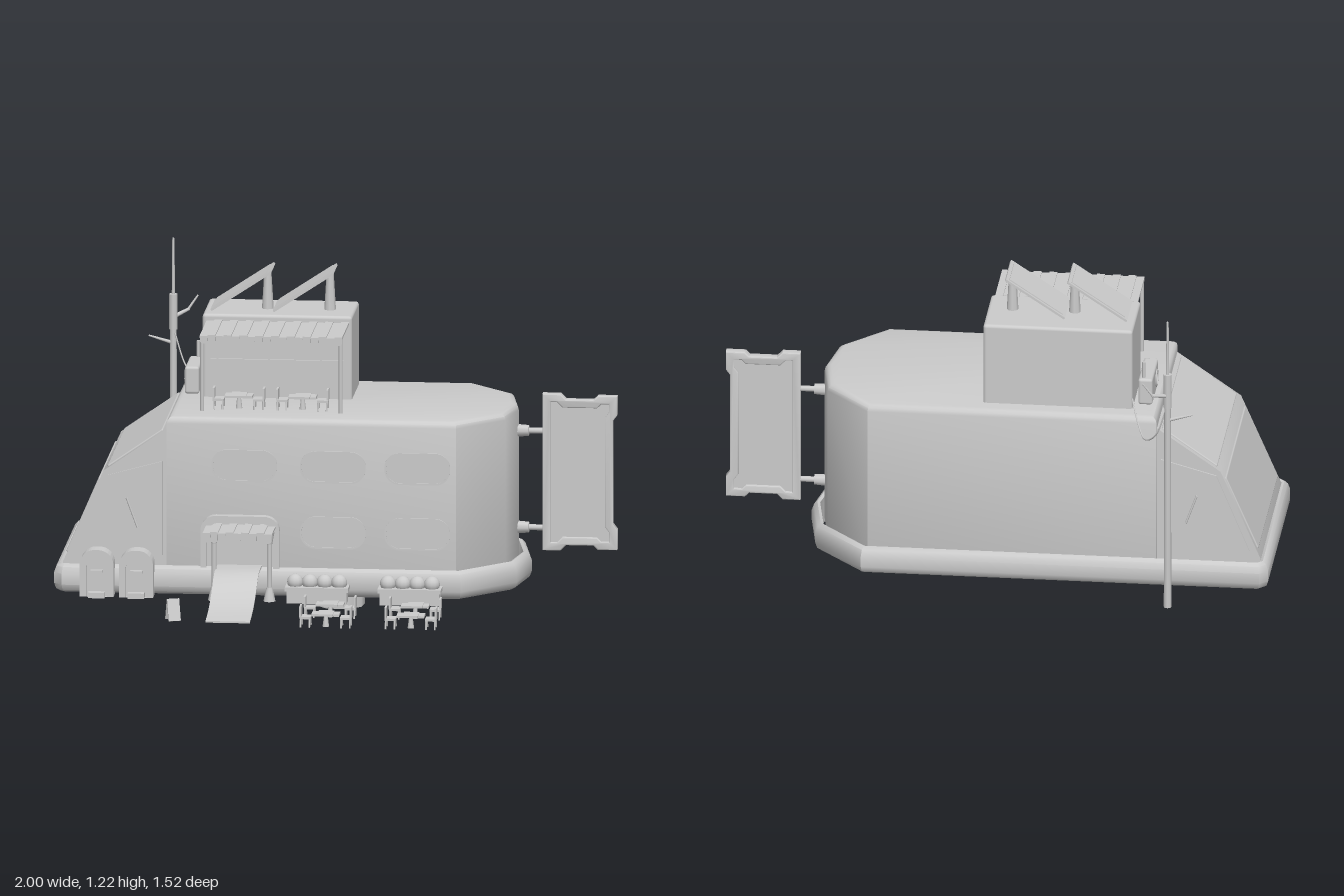
import * as THREE from 'three';
import { toCreasedNormals } from 'three/addons/utils/BufferGeometryUtils.js';
import { RoundedBoxGeometry } from 'three/addons/geometries/RoundedBoxGeometry.js';

const grey = new THREE.MeshStandardMaterial({ color: 0xcccccc });
const thin = new THREE.MeshStandardMaterial({ color: 0xcccccc, side: THREE.DoubleSide });
const CZ = -0.145; // centre line of the vehicle
const V = (x, y, z) => new THREE.Vector3(x, y, z);

function add(parent, name, geo, x = 0, y = 0, z = 0, mat = grey) {
  const m = new THREE.Mesh(geo, mat);
  m.name = name;
  m.position.set(x, y, z);
  parent.add(m);
  return m;
}
// Box given by its limits on each axis
const box = (p, name, x0, x1, y0, y1, z0, z1) =>
  add(p, name, new THREE.BoxGeometry(x1 - x0, y1 - y0, z1 - z0), (x0 + x1) / 2, (y0 + y1) / 2, (z0 + z1) / 2);
function rod(p, name, a, b, r, r2 = r, sides = 8) {
  const m = add(p, name, new THREE.CylinderGeometry(r2, r, a.distanceTo(b), sides));
  m.position.copy(a).add(b).multiplyScalar(0.5);
  m.quaternion.setFromUnitVectors(V(0, 1, 0), b.clone().sub(a).normalize());
  return m;
}
const shapeOf = (pts) => new THREE.Shape(pts.map(([x, y]) => new THREE.Vector2(x, y)));
const extrude = (shape, depth, bevel = 0) => toCreasedNormals(new THREE.ExtrudeGeometry(shape, {
  depth: depth - 2 * bevel, bevelEnabled: bevel > 0, bevelSize: bevel, bevelThickness: bevel,
  bevelOffset: -bevel, bevelSegments: 3, curveSegments: 10,
}).translate(0, 0, bevel), 0.7);

// Plan of the vehicle: square stern, faceted nose
const plan = [[-0.97, -0.4], [0.47, -0.4], [0.655, -0.205], [0.69, 0], [0.655, 0.205], [0.47, 0.4],
  [-0.97, 0.4], [-1, 0.37], [-1, -0.37]];
function inset(pts, d) {
  const n = pts.length;
  const normal = (a, b) => new THREE.Vector2(a[1] - b[1], b[0] - a[0]).normalize();
  return pts.map((p, i) => {
    const n1 = normal(pts[(i + n - 1) % n], p), n2 = normal(p, pts[(i + 1) % n]);
    const k = d / (1 + n1.dot(n2));
    return [p[0] + (n1.x + n2.x) * k, p[1] + (n1.y + n2.y) * k];
  });
}
// Closed band that follows the plan with a cross-section of [inset, height]
function band(section) {
  const loops = section.map(([d, h]) => inset(plan, d).map(([x, y]) => [x, y, h]));
  const pos = [], n = plan.length, s = loops.length;
  for (let j = 0; j < s; j++) for (let i = 0; i < n; i++) {
    const a = loops[j][i], b = loops[j][(i + 1) % n], c = loops[(j + 1) % s][(i + 1) % n], d = loops[(j + 1) % s][i];
    pos.push(...a, ...b, ...c, ...a, ...c, ...d);
  }
  const g = new THREE.BufferGeometry();
  g.setAttribute('position', new THREE.Float32BufferAttribute(pos, 3));
  g.rotateX(-Math.PI / 2);
  return toCreasedNormals(g, 0.75);
}
function archShape(w, h, r) {
  const s = new THREE.Shape();
  s.moveTo(-w / 2, 0); s.lineTo(w / 2, 0); s.lineTo(w / 2, h - r);
  s.absarc(w / 2 - r, h - r, r, 0, Math.PI / 2);
  s.absarc(-w / 2 + r, h - r, r, Math.PI / 2, Math.PI);
  s.closePath();
  return s;
}
function pill(w, h, r) {
  const s = new THREE.Shape();
  [[1, -1, -0.5], [1, 1, 0], [-1, 1, 0.5], [-1, -1, 1]].forEach(([sx, sy, a]) =>
    s.absarc(sx * (w / 2 - r), sy * (h / 2 - r), r, a * Math.PI, (a + 0.5) * Math.PI));
  s.closePath();
  return s;
}
// Striped awning with a scalloped front edge
function awning(p, name, x0, x1, y, z0, z1, count, drop) {
  const g = new THREE.Group();
  g.name = name;
  const w = (x1 - x0) / count;
  for (let i = 0; i < count; i++) {
    const a = x0 + i * w, lift = i % 2 ? 0.004 : 0;
    box(g, 'awningSlat', a, a + w, y - 0.008 + lift, y + lift, z0, z1);
    add(g, 'awningScallop', extrude(archShape(w * 0.94, drop, w * 0.4), 0.006).rotateZ(Math.PI), a + w / 2, y, z1 - 0.006);
  }
  p.add(g);
}
// Table with a chair at each end
function diningSet(p, x, y, z) {
  const g = new THREE.Group();
  g.name = 'diningSet';
  box(g, 'tableTop', -0.05, 0.05, 0.042, 0.05, -0.028, 0.028);
  box(g, 'tableCloth', -0.028, 0.028, 0.044, 0.052, -0.037, 0.037);
  rod(g, 'tableStem', V(0, 0, 0), V(0, 0.045, 0), 0.012, 0.006);
  for (const s of [-1, 1]) {
    const c = new THREE.Group();
    c.name = 'chair';
    box(c, 'chairSeat', -0.02, 0.02, 0.03, 0.038, -0.025, 0.025);
    box(c, 'chairBack', 0.014, 0.021, 0.036, 0.076, -0.022, 0.022);
    for (const lx of [-0.016, 0.016]) for (const lz of [-1, 1])
      rod(c, 'chairLeg', V(lx, 0, lz * 0.03), V(lx, 0.032, lz * 0.02), 0.0035, 0.0035, 5);
    c.position.x = s * 0.073;
    c.rotation.y = s < 0 ? Math.PI : 0;
    g.add(c);
  }
  g.position.set(x, y, z);
  p.add(g);
}

export function createModel() {
  const g = new THREE.Group();

  // Skirt, hull and support column
  add(g, 'skirt', band([[0.025, 0.105], [0.007, 0.115], [0, 0.135], [0, 0.175], [0.008, 0.198], [0.02, 0.21],
    [0.03, 0.205], [0.03, 0.105]]), 0, 0, CZ);
  const hullPlan = inset(plan, 0.046).map(([x, y]) => [Math.max(x, -0.595), y]);
  const hull = extrude(shapeOf([...hullPlan.slice(0, 6), hullPlan[6], hullPlan[8]].slice(0, 7)), 0.63, 0.025);
  add(g, 'hull', hull.rotateX(-Math.PI / 2), 0, 0.12, CZ);
  add(g, 'supportColumn', new THREE.CylinderGeometry(0.092, 0.092, 0.15, 8).rotateY(0.3).toNonIndexed(), -0.002, 0.075, -0.14);

  // Sloping cab with window panels
  const cab = extrude(shapeOf([[-0.97, 0.18], [-0.58, 0.18], [-0.58, 0.715], [-0.825, 0.545], [-0.97, 0.21]]), 0.69);
  add(g, 'cab', cab, 0, 0, CZ - 0.345);
  for (const [x0, y0, x1, y1] of [[-0.956, 0.24, -0.838, 0.513], [-0.81, 0.555, -0.61, 0.694]]) {
    const m = add(g, 'windscreenPanel', new RoundedBoxGeometry(Math.hypot(x1 - x0, y1 - y0), 0.012, 0.65, 1, 0.005),
      (x0 + x1) / 2, (y0 + y1) / 2, CZ);
    m.rotation.z = Math.atan2(y1 - y0, x1 - x0);
  }
  for (const s of [-1, 1]) {
    const z = CZ + s * 0.347;
    add(g, 'cabSidePanel', extrude(shapeOf([[-0.93, 0.24], [-0.61, 0.24], [-0.61, 0.585], [-0.81, 0.53]]), 0.008), 0, 0, z - 0.004);
    rod(g, 'cabDoorHandle', V(-0.70, 0.34, z + s * 0.006), V(-0.74, 0.45, z + s * 0.006), 0.004);
  }

  // Side windows
  for (const [x, y] of [[-0.315, 0.575], [0.005, 0.575], [0.31, 0.575], [0.005, 0.335], [0.31, 0.335]]) {
    const frame = pill(0.237, 0.117, 0.055);
    frame.holes.push(pill(0.225, 0.105, 0.05));
    add(g, 'windowFrame', extrude(frame, 0.008), x, y, 0.207);
    add(g, 'windowPane', extrude(pill(0.23, 0.11, 0.052), 0.005), x, y, 0.206);
  }

  // Entrance with awning and ramp
  const porch = archShape(0.285, 0.19, 0.055);
  porch.holes.push(archShape(0.24, 0.165, 0.045));
  add(g, 'entranceFrame', extrude(porch, 0.045), -0.328, 0.205, 0.195);
  add(g, 'entranceDoor', extrude(archShape(0.24, 0.165, 0.045), 0.012), -0.328, 0.205, 0.205);
  awning(g, 'entranceAwning', -0.45, -0.2, 0.36, 0.215, 0.375, 9, 0.035);
  for (const x of [-0.415, -0.215]) {
    rod(g, 'entrancePost', V(x, 0.1, 0.305), V(x, 0.355, 0.305), 0.009);
    rod(g, 'entrancePostFoot', V(x, 0.1, 0.305), V(x, 0.15, 0.305), 0.022, 0.011);
    rod(g, 'entrancePostCap', V(x, 0.31, 0.305), V(x, 0.352, 0.305), 0.01, 0.018);
  }
  const rampTop = new THREE.SplineCurve([[0.2, 0.212], [0.35, 0.21], [0.47, 0.155], [0.57, 0.122], [0.69, 0.104]]
    .map(([z, y]) => new THREE.Vector2(z, y))).getPoints(12).map((p) => [-p.x, p.y]);
  const ramp = shapeOf([...rampTop, ...rampTop.map(([a, b]) => [a, b - 0.006]).reverse()]);
  add(g, 'ramp', extrude(ramp, 0.16).rotateY(Math.PI / 2), -0.41, 0, 0);

  // Arched lockers beside the cab
  for (const x of [-0.84, -0.697]) {
    const a = archShape(0.122, 0.172, 0.055);
    a.holes.push(archShape(0.075, 0.145, 0.037));
    add(g, 'lockerFrame', extrude(a, 0.065), x, 0.102, 0.235);
    add(g, 'lockerDoor', extrude(archShape(0.08, 0.15, 0.037), 0.045), x, 0.102, 0.24);
    box(g, 'lockerStep', x - 0.03, x + 0.03, 0.1, 0.12, 0.28, 0.315);
    box(g, 'lockerHandle', x - 0.022, x + 0.022, 0.19, 0.2, 0.28, 0.305);
  }

  // Planters with round shrubs
  for (const x of [-0.042, 0.293]) {
    box(g, 'planter', x - 0.108, x + 0.108, 0.1, 0.15, 0.275, 0.34);
    box(g, 'planterRim', x - 0.114, x + 0.114, 0.145, 0.16, 0.27, 0.347);
    for (let i = 0; i < 4; i++)
      add(g, 'shrub', new THREE.SphereGeometry(0.029, 12, 8), x - 0.08 + i * 0.053, 0.174, 0.307);
  }

  // Dining sets on the ground and on the roof
  for (const x of [0.028, 0.335]) for (const z of [0.555, 0.725]) diningSet(g, x, 0.1, z);
  for (const x of [-0.35, -0.12]) diningSet(g, x, 0.75, 0.035);

  // Folding notice board
  const board = new THREE.Group();
  board.name = 'noticeBoard';
  for (const s of [-1, 1])
    add(board, 'boardLeaf', new THREE.BoxGeometry(0.045, 0.08, 0.006), 0, 0.038, s * 0.012).rotation.x = -s * 0.3;
  board.position.set(-0.53, 0.1, 0.66);
  board.rotation.y = 0.35;
  g.add(board);

  // Roof house with terrace awning
  add(g, 'roofHouse', new RoundedBoxGeometry(0.54, 0.32, 0.28, 2, 0.012), -0.23, 0.894, -0.29);
  box(g, 'roofHouseCounter', -0.47, 0.01, 0.882, 0.892, -0.16, -0.142);
  awning(g, 'terraceAwning', -0.485, 0.03, 1.03, -0.16, 0.118, 18, 0.028);
  for (const x of [-0.478, 0.022]) rod(g, 'terracePost', V(x, 0.745, 0.093), V(x, 1.025, 0.093), 0.007);

  // Solar panels on posts
  for (const x of [-0.275, -0.05]) {
    rod(g, 'solarPost', V(x, 1.04, -0.272), V(x, 1.19, -0.272), 0.022, 0.013);
    const m = add(g, 'solarPanel', new THREE.BoxGeometry(0.256, 0.008, 0.178), x - 0.09, 1.132, -0.27);
    m.rotation.z = Math.atan2(0.14, 0.212);
    const f = add(m, 'solarCells', new THREE.BoxGeometry(0.23, 0.004, 0.155), 0, 0.005, 0);
    f.position.y = 0.005;
  }

  // Cooling unit
  add(g, 'coolingUnit', new RoundedBoxGeometry(0.052, 0.1, 0.2, 2, 0.01), -0.542, 0.8, -0.29);
  add(g, 'coolingFan', new THREE.TorusGeometry(0.028, 0.005, 6, 16).rotateY(Math.PI / 2), -0.568, 0.8, -0.255);
  rod(g, 'coolingPipe', V(-0.535, 0.84, -0.37), V(-0.535, 0.91, -0.37), 0.006);

  // Utility mast with arms and cable
  const mx = -0.656, mz = -0.698;
  rod(g, 'mast', V(mx, 0.098, mz), V(mx, 0.88, mz), 0.014, 0.012);
  rod(g, 'mastSleeve', V(mx, 0.88, mz), V(mx, 1.01, mz), 0.015);
  rod(g, 'mastTip', V(mx, 1.01, mz), V(mx, 1.215, mz), 0.006, 0.004);
  rod(g, 'mastArm', V(mx, 0.925, mz), V(-0.605, 0.945, -0.748), 0.008, 0.006);
  rod(g, 'mastArmTip', V(-0.61, 0.94, -0.745), V(-0.572, 0.995, -0.758), 0.005, 0.003);
  rod(g, 'mastArm', V(mx, 0.83, mz), V(-0.745, 0.855, -0.7), 0.007, 0.003);
  const cable = new THREE.CatmullRomCurve3([V(-0.65, 0.87, -0.69), V(-0.612, 0.76, -0.67), V(-0.565, 0.712, -0.61),
    V(-0.53, 0.735, -0.52), V(-0.5, 0.79, -0.43)]);
  add(g, 'cable', new THREE.TubeGeometry(cable, 24, 0.003, 6), 0, 0, 0, thin);

  // Hanging sign at the nose
  const signEdge = [[0.73, 0.215], [0.795, 0.215], [0.815, 0.235], [0.915, 0.235], [0.93, 0.22], [1, 0.22], [1, 0.295],
    [0.985, 0.315], [0.985, 0.695], [1, 0.715], [1, 0.785], [0.93, 0.785], [0.915, 0.77], [0.815, 0.77], [0.795, 0.79], [0.73, 0.79]];
  const sign = shapeOf(signEdge);
  sign.holes.push(shapeOf(inset(signEdge, 0.03)));
  add(g, 'signFrame', extrude(sign, 0.034, 0.004), 0, 0, CZ - 0.012);
  add(g, 'signPanel', extrude(shapeOf(inset(signEdge, 0.025)), 0.016), 0, 0, CZ - 0.003);
  for (const y of [0.65, 0.295]) {
    rod(g, 'signBracket', V(0.62, y, CZ), V(0.74, y, CZ), 0.011);
    rod(g, 'signBracketFlange', V(0.63, y, CZ), V(0.68, y, CZ), 0.024, 0.02);
  }
  return g;
}
